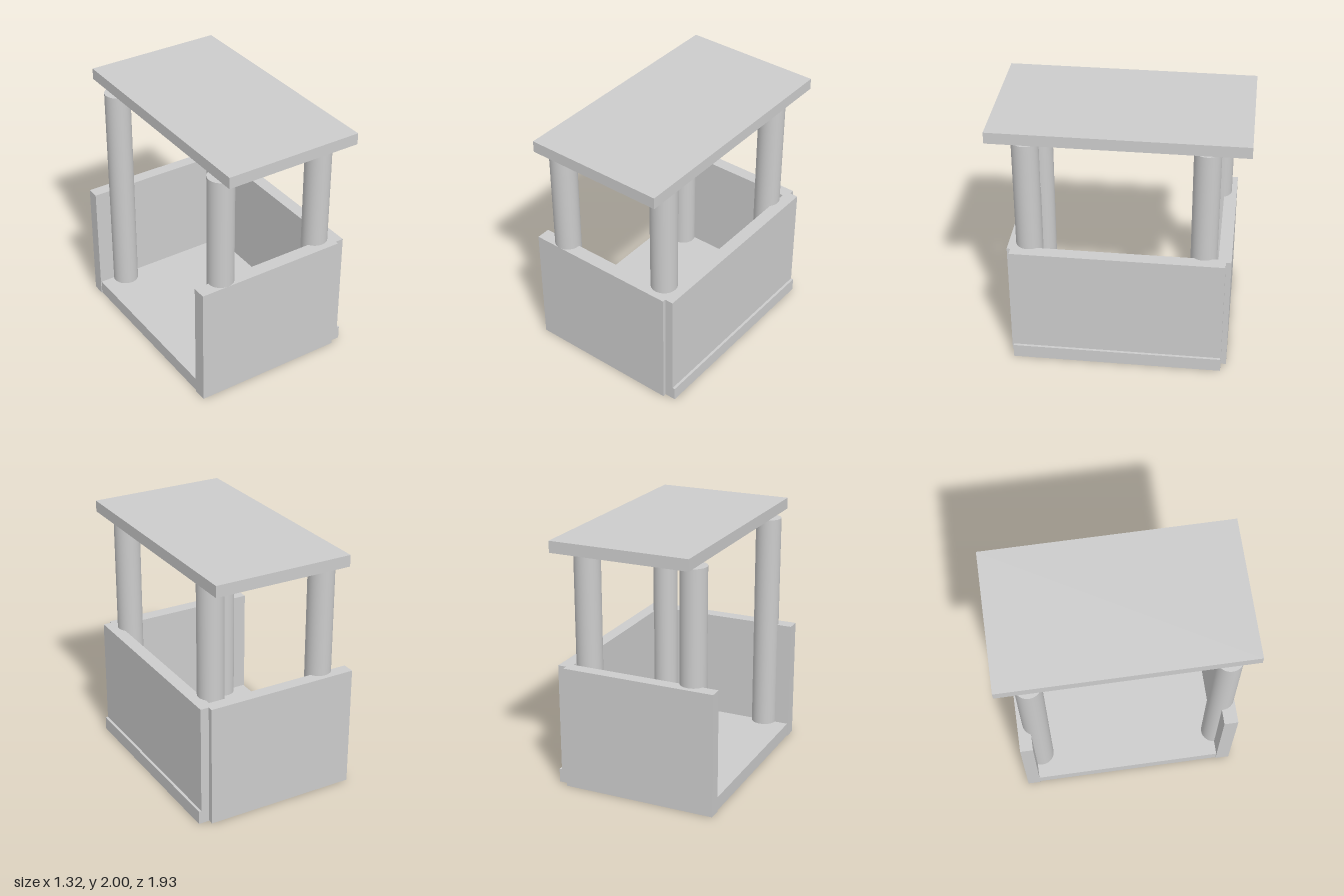
import * as THREE from 'three';

const material = new THREE.MeshStandardMaterial({ color: 0xcccccc });

export function createModel() {
  const model = new THREE.Group();
  model.name = 'marketStall';

  // Box given by its extents along x, y and z
  function slab(name, [x0, x1], [y0, y1], [z0, z1]) {
    const mesh = new THREE.Mesh(new THREE.BoxGeometry(x1 - x0, y1 - y0, z1 - z0), material);
    mesh.position.set((x0 + x1) / 2, (y0 + y1) / 2, (z0 + z1) / 2);
    mesh.name = name;
    model.add(mesh);
  }

  // Base and three walls; the -x side stays open
  const floorTop = 0.11, wallTop = 0.98;
  slab('floor', [-0.653, 0.658], [0, floorTop], [-0.818, 0.823]);
  slab('frontWall', [-0.66, 0.57], [0, wallTop], [0.74, 0.85]);
  slab('backWall', [-0.66, 0.57], [0, wallTop], [-0.86, -0.76]);
  slab('sideWall', [0.535, 0.637], [floorTop, wallTop], [-0.818, 0.823]);

  // Four round posts standing on the floor, stopping just below the roof
  const postTop = 1.88, postHeight = postTop - floorTop;
  const postGeometry = new THREE.CylinderGeometry(0.102, 0.102, postHeight, 48);
  const posts = [
    ['frontRightPost', -0.44, 0.748],
    ['frontLeftPost', 0.458, 0.693],
    ['backRightPost', -0.44, -0.717],
    ['backLeftPost', 0.458, -0.647],
  ];
  for (const [name, x, z] of posts) {
    const post = new THREE.Mesh(postGeometry, material);
    post.position.set(x, floorTop + postHeight / 2, z);
    post.name = name;
    model.add(post);
  }

  // Flat roof floating a little above the posts
  slab('roof', [-0.515, 0.592], [1.91, 2], [-0.967, 0.967]);

  return model;
}
